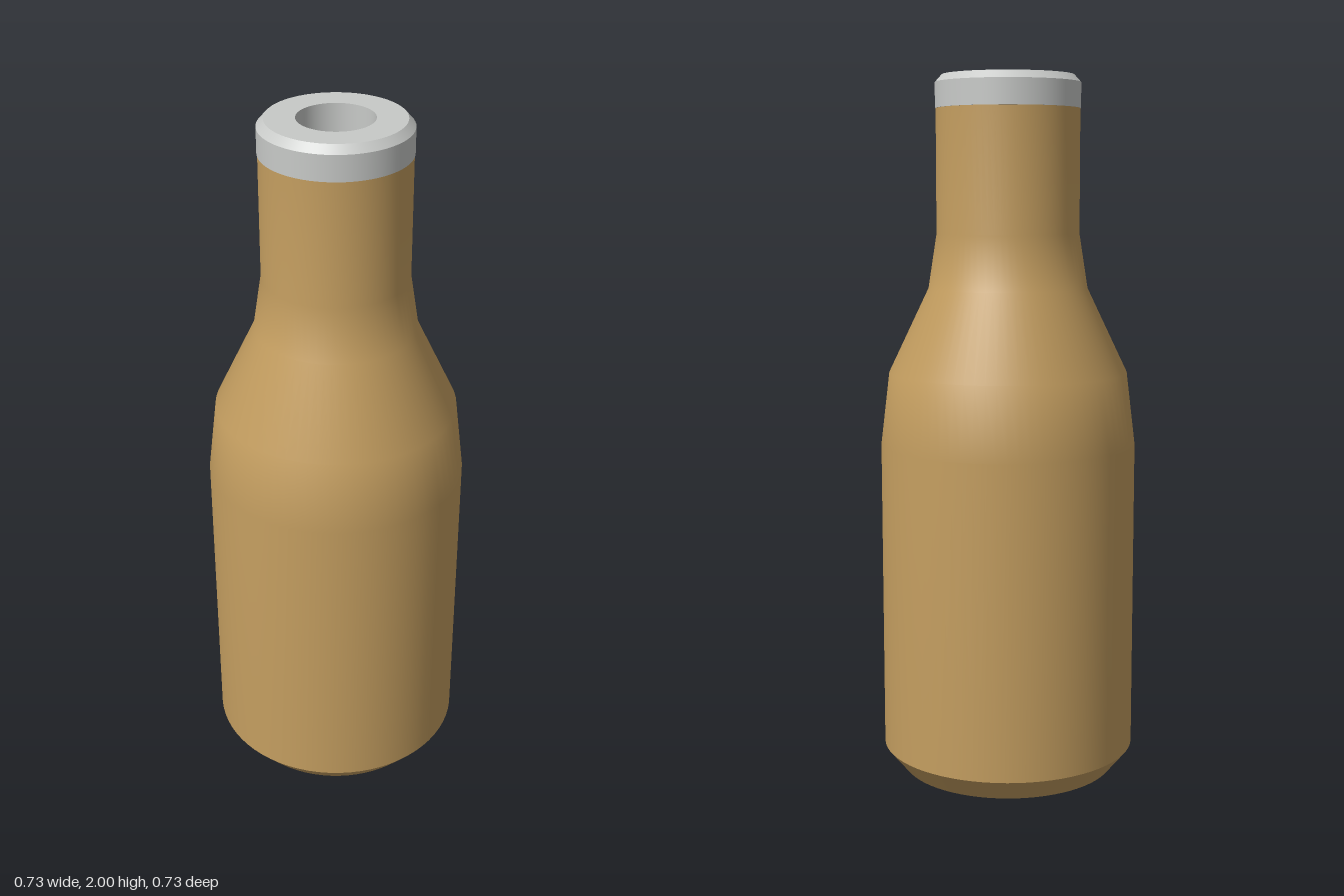
import * as THREE from 'three';

const SEGMENTS = 72;

export function createModel() {
  const model = new THREE.Group();
  model.name = 'bottle';

  const tan = new THREE.MeshStandardMaterial({ color: 0xc49e60, side: THREE.DoubleSide });
  tan.name = 'tan';
  const grey = new THREE.MeshStandardMaterial({ color: 0xc8cac8, side: THREE.DoubleSide });
  grey.name = 'light grey';

  // Revolve a [radius, height] profile; separate calls keep sharp edges between parts
  const turn = (name, profile, material, parent) => {
    const points = profile.map(([r, y]) => new THREE.Vector2(r, y));
    const mesh = new THREE.Mesh(new THREE.LatheGeometry(points, SEGMENTS), material);
    mesh.name = name;
    parent.add(mesh);
  };

  // Thin open-bottomed shell: bevelled foot, then body, shoulder and neck
  turn('footBevel', [[0.31, 0], [0.366, 0.068]], tan, model);
  turn('body', [
    [0.366, 0.068], [0.366, 0.96], [0.341, 1.167],
    [0.227, 1.406], [0.203, 1.56], [0.203, 1.908],
  ], tan, model);

  // Ring cap with a bevelled top edge and a hole through the middle
  const cap = new THREE.Group();
  cap.name = 'cap';
  model.add(cap);
  const ring = [
    ['capSide', 0.205, 1.908], ['capBevel', 0.205, 1.979], ['capTop', 0.186, 2],
    ['capBore', 0.104, 2], ['capUnderside', 0.104, 1.908],
  ];
  ring.forEach(([name, r, y], i) => {
    const [, nextR, nextY] = ring[(i + 1) % ring.length];
    turn(name, [[r, y], [nextR, nextY]], grey, cap);
  });

  return model;
}
